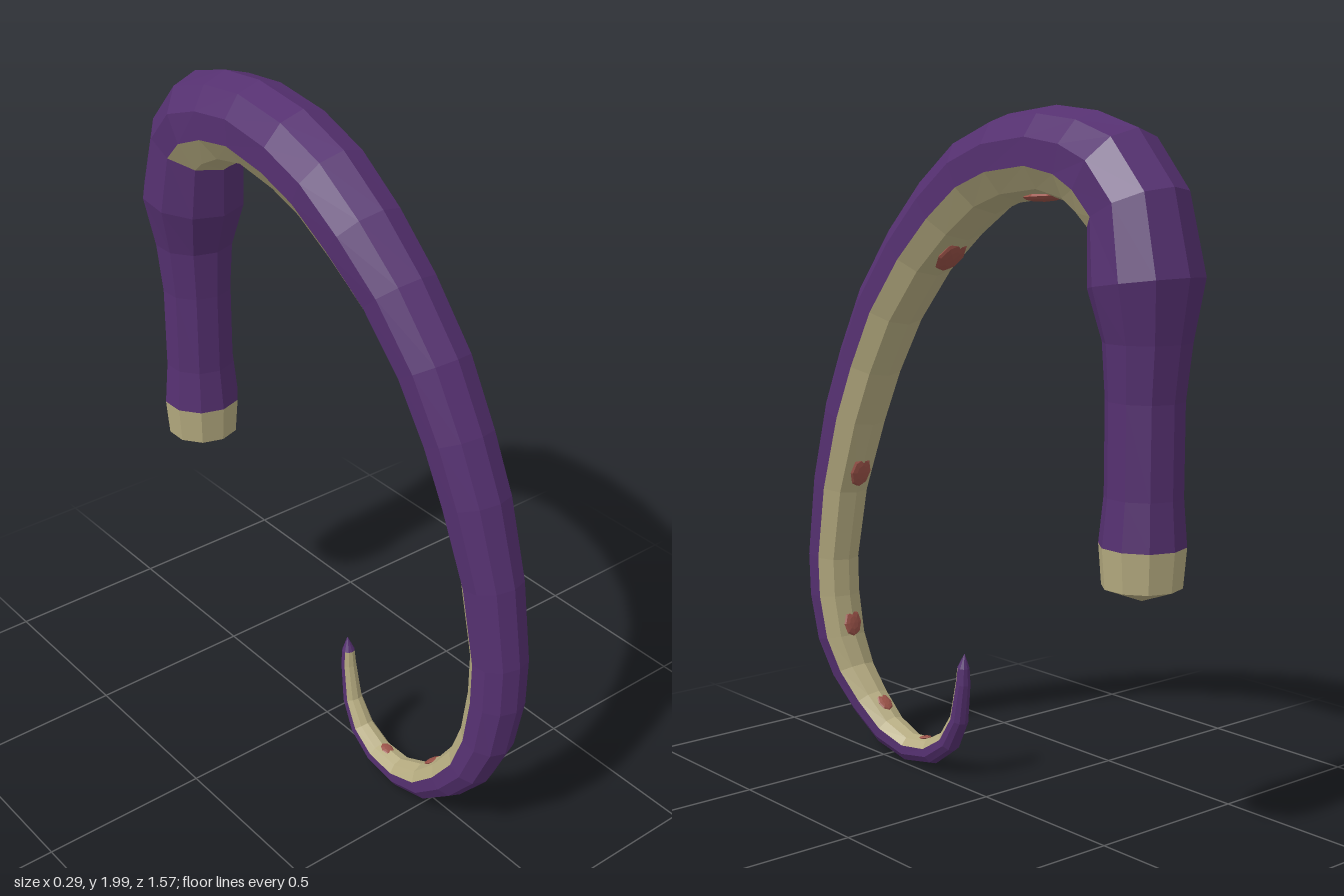
import * as THREE from 'three';

const SIDES = 10;

// Cross-sections along the body: [x, y, z, radius]
const RINGS = [
  [0, 0.72, -0.63, 0], [0, 0.76, -0.63, 0.108], [0, 0.87, -0.63, 0.117],
  [0, 1.0, -0.632, 0.105], [0, 1.25, -0.632, 0.105], [0, 1.4, -0.637, 0.118],
  [0, 1.55, -0.63, 0.154], [-0.005, 1.735, -0.592, 0.139], [-0.01, 1.82, -0.507, 0.142],
  [-0.015, 1.86, -0.4, 0.128], [-0.02, 1.88, -0.265, 0.122], [-0.03, 1.862, -0.085, 0.123],
  [-0.033, 1.815, 0.055, 0.121], [-0.028, 1.72, 0.19, 0.116], [-0.015, 1.595, 0.32, 0.108],
  [0, 1.43, 0.444, 0.104], [0.012, 1.255, 0.533, 0.099], [0.024, 1.09, 0.597, 0.097],
  [0.035, 0.86, 0.665, 0.087], [0.036, 0.63, 0.706, 0.081], [0.03, 0.5, 0.71, 0.08],
  [0.018, 0.36, 0.695, 0.076], [0, 0.25, 0.657, 0.069], [-0.015, 0.16, 0.587, 0.061],
  [-0.026, 0.085, 0.5, 0.053], [-0.032, 0.052, 0.395, 0.045], [-0.036, 0.065, 0.295, 0.04],
  [-0.038, 0.115, 0.218, 0.035], [-0.038, 0.195, 0.171, 0.029], [-0.038, 0.31, 0.152, 0.023],
  [-0.038, 0.36, 0.15, 0.019], [-0.038, 0.405, 0.145, 0],
];

const centres = RINGS.map(([x, y, z]) => new THREE.Vector3(x, y, z));
const SIDE = new THREE.Vector3(1, 0, 0);

// Direction pointing to the outside of the bend at ring i
function outward(i) {
  const a = RINGS[Math.max(i - 1, 0)], b = RINGS[Math.min(i + 1, RINGS.length - 1)];
  return new THREE.Vector3(0, b[2] - a[2], a[1] - b[1]).normalize();
}

function ringPoint(i, j) {
  const a = (j / SIDES) * Math.PI * 2, r = RINGS[i][3];
  return centres[i].clone()
    .addScaledVector(outward(i), r * Math.cos(a))
    .addScaledVector(SIDE, r * Math.sin(a));
}

// Faceted skin over the strips for which keep(segment, side) holds
function skin(name, color, keep) {
  const pos = [];
  const tri = (...pts) => pts.forEach((p) => pos.push(p.x, p.y, p.z));
  for (let i = 0; i < RINGS.length - 1; i++) {
    for (let j = 0; j < SIDES; j++) {
      if (!keep(i, j)) continue;
      const a = ringPoint(i, j), b = ringPoint(i + 1, j);
      const c = ringPoint(i + 1, j + 1), d = ringPoint(i, j + 1);
      if (RINGS[i + 1][3] > 0) tri(a, b, c);
      if (RINGS[i][3] > 0) tri(a, c, d);
    }
  }
  const geo = new THREE.BufferGeometry();
  geo.setAttribute('position', new THREE.Float32BufferAttribute(pos, 3));
  geo.computeVertexNormals();
  const mesh = new THREE.Mesh(geo, new THREE.MeshStandardMaterial({ color, flatShading: true }));
  mesh.name = name;
  return mesh;
}

export function createModel() {
  const group = new THREE.Group();
  group.name = 'curledTentacle';

  const isBase = (i) => i < 2;
  const isUnder = (i, j) => i >= 7 && i < RINGS.length - 2 && j >= 3 && j <= 6;

  group.add(skin('outerSkin', 0x553070, (i, j) => !isBase(i) && !isUnder(i, j)));
  group.add(skin('underside', 0xb5ab80, isUnder));
  group.add(skin('cutBase', 0xb5ab80, isBase));

  // Flat spots along the inside of the curl: [ring, fraction to the next ring]
  const spots = [[10, 0.3], [13, 0.5], [17, 0.7], [20, 0.7], [23, 0.4], [25, 0.7]];
  const spotMaterial = new THREE.MeshStandardMaterial({ color: 0x9a5248, flatShading: true });
  spots.forEach(([i, f]) => {
    const inner = ringPoint(i, SIDES / 2).lerp(ringPoint(i + 1, SIDES / 2), f);
    const r = THREE.MathUtils.lerp(RINGS[i][3], RINGS[i + 1][3], f);
    const normal = outward(i).lerp(outward(i + 1), f).normalize().negate();
    const spot = new THREE.Mesh(new THREE.SphereGeometry(1, 8, 6), spotMaterial);
    spot.name = 'spot';
    spot.scale.set(r * 0.42, r * 0.12, r * 0.55);
    spot.position.copy(inner).addScaledVector(normal, -r * 0.06);
    spot.quaternion.setFromUnitVectors(new THREE.Vector3(0, 1, 0), normal);
    group.add(spot);
  });

  return group;
}
